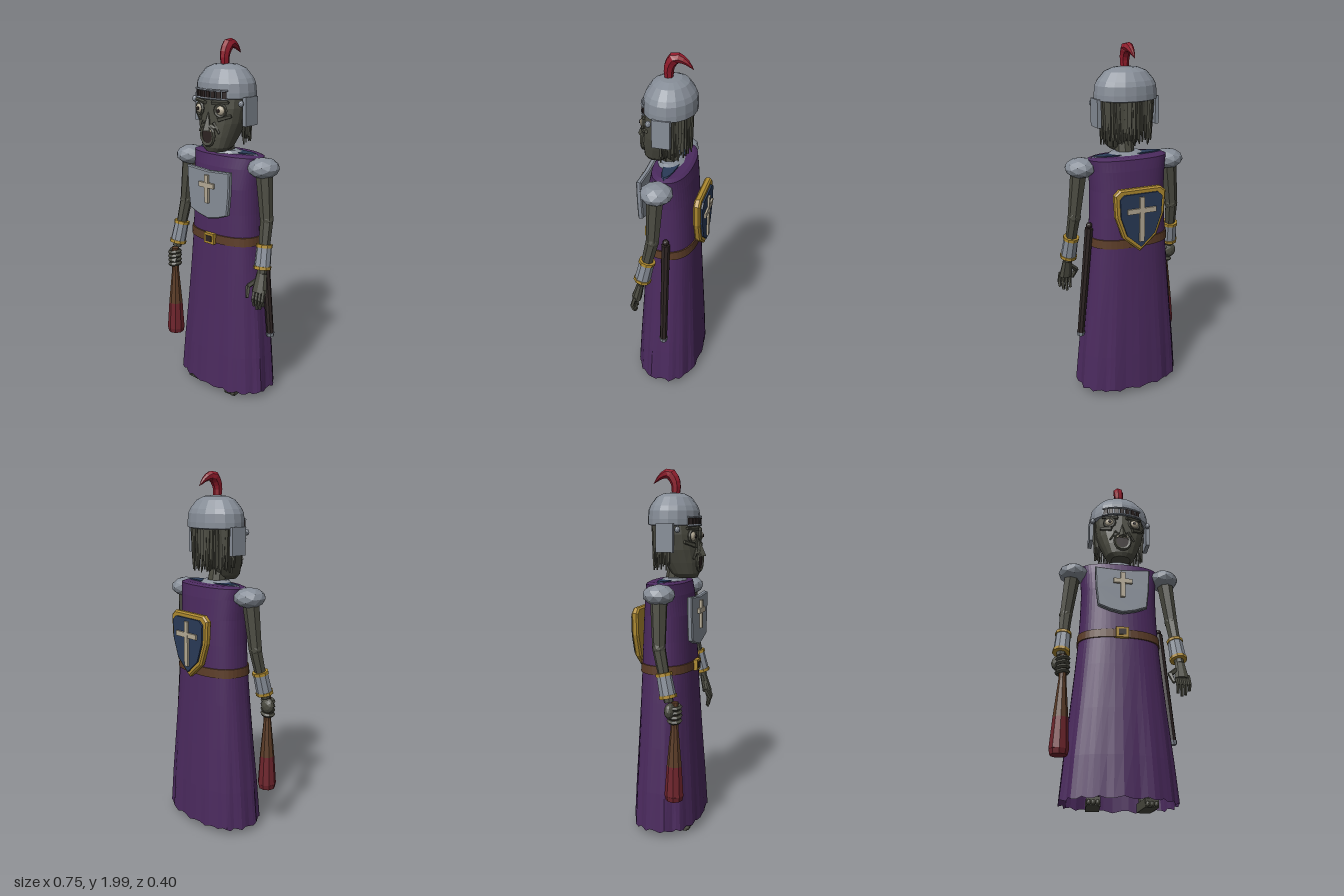
import * as THREE from 'three';

const mat = (name, color, side = THREE.FrontSide) => Object.assign(new THREE.MeshStandardMaterial({ color, side }), { name });
const V = (x, y, z) => new THREE.Vector3(x, y, z);

export function createModel() {
  const root = new THREE.Group();
  const purple = mat('robe purple', 0x4b2a5e, THREE.DoubleSide);
  const steel = mat('steel', 0x868d97), skin = mat('grey skin', 0x4a4a40);
  const gold = mat('gold', 0xae8a30), brown = mat('leather brown', 0x5b3c27);
  const red = mat('plume red', 0x8f1a2a), clubRed = mat('club red', 0x6e242c);
  const navy = mat('navy', 0x293a57), bone = mat('bone', 0xb3a994), dark = mat('dark brown', 0x2c2322);

  // Adds a faceted mesh
  function add(name, geo, m, x = 0, y = 0, z = 0, parent = root) {
    const g = geo.index ? geo.toNonIndexed() : geo;
    g.computeVertexNormals();
    const mesh = new THREE.Mesh(g, m);
    mesh.name = name;
    mesh.position.set(x, y, z);
    parent.add(mesh);
    return mesh;
  }
  const box = (name, w, h, d, m, x, y, z) => add(name, new THREE.BoxGeometry(w, h, d), m, x, y, z);
  const ball = (name, rx, ry, rz, m, x, y, z, detail = 1) =>
    add(name, new THREE.IcosahedronGeometry(1, detail).scale(rx, ry, rz), m, x, y, z);

  // Tapered rod from a to b
  function rod(name, a, b, ra, rb, m, sides = 7) {
    const d = b.clone().sub(a);
    const mesh = add(name, new THREE.CylinderGeometry(rb, ra, d.length(), sides), m);
    mesh.position.copy(a).lerp(b, 0.5);
    mesh.quaternion.setFromUnitVectors(V(0, 1, 0), d.normalize());
    return mesh;
  }

  // Skin over rows of [y, halfWidth, frontZ, backZ], listed upward
  function loft(rows, n, { e = 2, wave = () => 0, lift = () => 0, capTop = true, capBottom = true } = {}) {
    const pos = [], idx = [], p = (v) => Math.sign(v) * Math.abs(v) ** (2 / e);
    rows.forEach(([y, a, f, b]) => {
      for (let j = 0; j < n; j++) {
        const t = (j / n) * Math.PI * 2, k = 1 + wave(t, y);
        pos.push(a * k * p(Math.sin(t)), y + lift(t, y), (f + b) / 2 + ((f - b) / 2) * k * p(Math.cos(t)));
      }
    });
    for (let i = 0; i < rows.length - 1; i++) for (let j = 0; j < n; j++) {
      const a = i * n + j, b = i * n + (j + 1) % n;
      idx.push(a, b, b + n, a, b + n, a + n);
    }
    const cap = (r, flip) => {
      const c = pos.length / 3, [y, , f, b] = rows[r];
      pos.push(0, y, (f + b) / 2);
      for (let j = 0; j < n; j++) {
        const u = r * n + j, v = r * n + (j + 1) % n;
        idx.push(c, flip ? v : u, flip ? u : v);
      }
    };
    if (capTop) cap(rows.length - 1, false);
    if (capBottom) cap(0, true);
    const g = new THREE.BufferGeometry();
    g.setAttribute('position', new THREE.Float32BufferAttribute(pos, 3));
    g.setIndex(idx);
    return g;
  }

  // Symmetric plate from the right half of its outline, top to bottom
  function plate(half, depth, bevel = 0) {
    const pts = [...half, ...half.slice().reverse().map(([x, y]) => [-x, y])].map(([x, y]) => new THREE.Vector2(x, y));
    return new THREE.ExtrudeGeometry(new THREE.Shape(pts.filter((p, i) => !i || !p.equals(pts[i - 1]))),
      { depth, bevelEnabled: bevel > 0, bevelSize: bevel, bevelThickness: bevel, bevelOffset: -bevel, bevelSegments: 1 });
  }

  // Robe with pleats that deepen toward a ragged hem
  const fold = (y) => Math.max(0, 0.9 - y);
  add('robe', loft([[0.035, 0.305, 0.195, -0.18], [0.25, 0.288, 0.182, -0.172], [0.5, 0.263, 0.165, -0.16],
    [0.75, 0.24, 0.15, -0.148], [0.93, 0.225, 0.14, -0.14], [1.08, 0.218, 0.134, -0.135], [1.22, 0.215, 0.13, -0.128],
    [1.33, 0.22, 0.115, -0.118], [1.39, 0.228, 0.1, -0.108], [1.4, 0.2, 0.08, -0.09]], 56, {
    e: 2.4, capBottom: false,
    wave: (t, y) => fold(y) * (0.022 * Math.cos(14 * t) + 0.012 * Math.cos(9 * t + 1)),
    lift: (t, y) => (y < 0.1 ? 0.008 * Math.cos(19 * t) : 0),
  }), purple);
  add('underTunic', loft([[1.395, 0.215, 0.04, -0.04], [1.406, 0.2, 0.04, -0.04]], 16), navy);
  add('gorget', loft([[1.39, 0.13, 0.09, -0.07], [1.415, 0.08, 0.08, -0.03]], 14), steel);

  // Belt and buckle
  add('belt', loft([[0.905, 0.222, 0.138, -0.138], [0.906, 0.234, 0.148, -0.148], [0.954, 0.231, 0.146, -0.146],
    [0.955, 0.22, 0.136, -0.136]], 40, { e: 2.4, capTop: false, capBottom: false }), brown);
  box('buckle', 0.07, 0.06, 0.022, gold, 0, 0.93, 0.155);
  box('buckleCentre', 0.042, 0.034, 0.006, dark, 0, 0.93, 0.167);

  // Chest plate with cross
  add('chestPlate', plate([[0, 1.315], [0.155, 1.325], [0.15, 1.2], [0.137, 1.085], [0.07, 1.06], [0, 1.045]], 0.018, 0.006), steel, 0, 0, 0.146);
  box('chestCrossUpright', 0.025, 0.155, 0.014, bone, 0, 1.215, 0.177);
  box('chestCrossBar', 0.105, 0.027, 0.014, bone, 0, 1.237, 0.178);

  // Shield carried on the back
  const outline = [[0, 1.25], [0.12, 1.25], [0.152, 1.222], [0.145, 1.1], [0.1, 0.975], [0, 0.89]];
  const shield = new THREE.Group();
  shield.name = 'shield';
  shield.rotation.y = Math.PI;
  root.add(shield);
  add('shieldRim', plate(outline, 0.02, 0.009), gold, 0, 0, 0.151, shield);
  add('shieldFace', plate(outline.map(([x, y]) => [x * 0.82, 1.08 + (y - 1.08) * 0.84]), 0.012), navy, 0, 0, 0.178, shield);
  add('shieldCrossUpright', new THREE.BoxGeometry(0.028, 0.25, 0.012), bone, 0, 1.08, 0.195, shield);
  add('shieldCrossBar', new THREE.BoxGeometry(0.17, 0.028, 0.011), bone, 0, 1.13, 0.195, shield);

  // Neck and head
  rod('neck', V(0, 1.36, 0.02), V(0, 1.5, 0.04), 0.055, 0.05, skin, 9);
  add('head', loft([[1.415, 0.055, 0.15, 0.04], [1.44, 0.085, 0.16, 0.01], [1.5, 0.108, 0.163, -0.03], [1.57, 0.132, 0.158, -0.06],
    [1.65, 0.144, 0.152, -0.07], [1.72, 0.142, 0.145, -0.08], [1.79, 0.1, 0.11, -0.05]], 18, { e: 2.3 }), skin);

  // Face
  const nose = add('nose', new THREE.ConeGeometry(0.026, 0.1, 5).scale(1, 1, 1.2), skin, 0, 1.58, 0.164);
  nose.rotation.x = -0.12;
  ball('upperLip', 0.058, 0.02, 0.018, skin, 0, 1.548, 0.158);
  const lips = add('mouthRim', new THREE.TorusGeometry(0.044, 0.01, 5, 14).scale(1, 1.15, 1), skin, 0, 1.505, 0.166);
  lips.rotation.x = 0.03;
  add('mouth', new THREE.CylinderGeometry(0.044, 0.044, 0.008, 14).rotateX(Math.PI / 2).scale(1, 1.15, 1), dark, 0, 1.505, 0.165);
  for (const x of [-0.028, -0.01, 0.01, 0.028]) box('tooth', 0.011, 0.018, 0.007, bone, x, 1.537, 0.171);
  for (const s of [-1, 1]) {
    const socket = add('eyeSocket', new THREE.TorusGeometry(0.031, 0.009, 5, 12), skin, s * 0.073, 1.64, 0.145);
    socket.rotation.y = s * 0.3;
    ball('eye', 0.027, 0.027, 0.02, bone, s * 0.073, 1.64, 0.142, 2);
    add('pupil', new THREE.CylinderGeometry(0.009, 0.009, 0.006, 8).rotateX(Math.PI / 2), dark, s * 0.073, 1.64, 0.162);
    rod('brow', V(s * 0.025, 1.675, 0.158), V(s * 0.115, 1.682, 0.128), 0.012, 0.008, skin, 5);
    rod('cheekFold', V(s * 0.035, 1.575, 0.158), V(s * 0.07, 1.52, 0.152), 0.009, 0.006, skin, 5);
    rod('cheekBone', V(s * 0.06, 1.592, 0.152), V(s * 0.122, 1.612, 0.115), 0.014, 0.01, skin, 5);
  }

  // Stringy hair in two rows round the back
  for (let layer = 0; layer < 2; layer++) for (let i = 0; i < 22; i++) {
    const t = (-0.08 + (i + layer * 0.5) / 21 * 1.13) * Math.PI, c = Math.cos(t), q = Math.sin(t);
    const r = 1 - layer * 0.07, end = 1.455 + 0.04 * Math.abs(Math.sin(i * 2.3 + layer));
    rod('hairStrand', V(0.145 * r * c, 1.71, 0.01 - 0.095 * r * q), V(0.142 * r * c, end, 0.01 - 0.1 * r * q), 0.016, 0.004, skin, 4);
  }

  // Helmet, visor, cheek plates and plume
  const profile = [[0.155, 1.695], [0.176, 1.7], [0.176, 1.73], [0.171, 1.775], [0.158, 1.8], [0.118, 1.845], [0.07, 1.864], [0, 1.87]];
  const helmetGeo = new THREE.LatheGeometry(profile.map(([x, y]) => new THREE.Vector2(x, y)), 18).scale(1, 1, 0.79);
  add('helmet', helmetGeo, steel, 0, 0, 0.018);
  for (let i = -3; i <= 3; i++) {
    const t = i * 0.185, x = 0.18 * Math.sin(t), z = 0.018 + 0.142 * Math.cos(t);
    const slot = box('visorSlot', 0.023, 0.034, 0.008, dark, x, 1.718, z);
    slot.rotation.y = t;
  }
  for (const y of [1.698, 1.741]) for (let i = -3; i < 3; i++) {
    const at = (k) => V(0.182 * Math.sin(k * 0.22), y, 0.018 + 0.144 * Math.cos(k * 0.22));
    rod('visorRail', at(i), at(i + 1), 0.006, 0.006, steel, 5);
  }
  for (const s of [-1, 1]) {
    box('cheekPlate', 0.022, 0.15, 0.095, steel, s * 0.17, 1.633, 0.022);
    ball('helmetRivet', 0.015, 0.018, 0.015, steel, s * 0.165, 1.677, 0.09);
  }
  const path = new THREE.CatmullRomCurve3([V(0, 1.85, 0.028), V(0, 1.92, 0.028), V(0, 1.968, -0.005), V(0, 1.958, -0.05), V(0, 1.915, -0.1)]);
  const plumeGeo = new THREE.TubeGeometry(path, 10, 1, 7), pp = plumeGeo.attributes.position;
  for (let i = 0; i < pp.count; i++) {
    const u = Math.floor(i / 8) / 10, c = path.getPointAt(u);
    const r = u < 0.5 ? 0.022 + 0.02 * u : 0.032 - 0.06 * (u - 0.5);
    const v = V(0, 0, 0).fromBufferAttribute(pp, i).sub(c).multiplyScalar(u === 1 ? 0 : r).add(c);
    pp.setXYZ(i, v.x, v.y, v.z);
  }
  add('plume', plumeGeo, red);

  // Shoulders, arms, bracers, legs and feet
  for (const s of [-1, 1]) {
    const elbow = V(s * 0.302, 1.07, 0.035), wrist = V(s * 0.325, 0.79, 0.097);
    ball('shoulderPad', 0.086, 0.056, 0.088, steel, s * 0.265, 1.345, 0.022);
    rod('upperArm', V(s * 0.272, 1.33, 0.025), elbow, 0.047, 0.036, skin);
    ball('elbow', 0.038, 0.04, 0.036, skin, elbow.x, elbow.y, elbow.z);
    rod('forearm', elbow, wrist, 0.036, 0.026, skin);
    const on = (k) => elbow.clone().lerp(wrist, k);
    rod('bracer', on(0.47), on(0.9), 0.041, 0.045, steel, 9);
    rod('bracerTopBand', on(0.45), on(0.51), 0.046, 0.046, gold, 9);
    rod('bracerBottomBand', on(0.86), on(0.92), 0.049, 0.049, gold, 9);
    rod('shin', V(s * 0.13, 0.03, 0.03), V(s * 0.11, 0.6, 0.0), 0.028, 0.042, skin);
    const foot = box('foot', 0.07, 0.045, 0.165, skin, s * 0.138, 0.0225, 0.072);
    foot.rotation.y = s * 0.08;
    for (let i = -1; i <= 1; i++) ball('toe', 0.013, 0.015, 0.014, skin, s * 0.145 + i * 0.022, 0.016, 0.153);
  }

  // Open left hand
  rod('leftPalm', V(0.327, 0.79, 0.1), V(0.33, 0.69, 0.125), 0.03, 0.043, skin, 8).scale.z = 0.65;
  for (let i = 0; i < 4; i++) {
    const x = 0.3 + i * 0.021, tip = [0.605, 0.59, 0.598, 0.62][i];
    rod('finger', V(x, 0.71, 0.125), V(x + 0.003, 0.65, 0.142), 0.011, 0.011, skin, 5);
    rod('fingertip', V(x + 0.003, 0.652, 0.142), V(x + 0.002, tip, 0.132), 0.011, 0.008, skin, 5);
  }
  rod('thumb', V(0.31, 0.755, 0.11), V(0.262, 0.71, 0.135), 0.014, 0.014, skin, 5);
  rod('thumbTip', V(0.262, 0.715, 0.133), V(0.278, 0.655, 0.162), 0.014, 0.01, skin, 5);

  // Right fist gripping the club
  ball('rightPalm', 0.043, 0.045, 0.03, skin, -0.333, 0.745, 0.105);
  for (let i = 0; i < 4; i++) {
    const f = add('grippingFinger', new THREE.TorusGeometry(0.03, 0.012, 5, 10).rotateX(Math.PI / 2), skin, -0.316, 0.765 - i * 0.025, 0.125);
    f.rotation.z = 0.15;
  }
  rod('rightThumb', V(-0.3, 0.77, 0.11), V(-0.29, 0.71, 0.155), 0.014, 0.01, skin, 5);
  rod('clubGrip', V(-0.314, 0.65, 0.125), V(-0.312, 0.79, 0.125), 0.021, 0.02, brown, 9);
  rod('clubShaft', V(-0.317, 0.44, 0.125), V(-0.314, 0.651, 0.125), 0.041, 0.021, brown, 9);
  rod('clubHead', V(-0.32, 0.275, 0.125), V(-0.317, 0.44, 0.125), 0.052, 0.041, clubRed, 9);
  rod('clubEnd', V(-0.32, 0.247, 0.125), V(-0.32, 0.275, 0.125), 0.046, 0.052, clubRed, 9);

  // Scabbard on the left hip
  rod('scabbard', V(0.3, 0.385, -0.018), V(0.238, 1.01, -0.018), 0.021, 0.024, dark, 8);
  rod('scabbardTip', V(0.302, 0.365, -0.018), V(0.3, 0.387, -0.018), 0.02, 0.025, steel, 8);
  ball('swordPommel', 0.018, 0.018, 0.018, dark, 0.237, 1.025, -0.018);
  return root;
}
